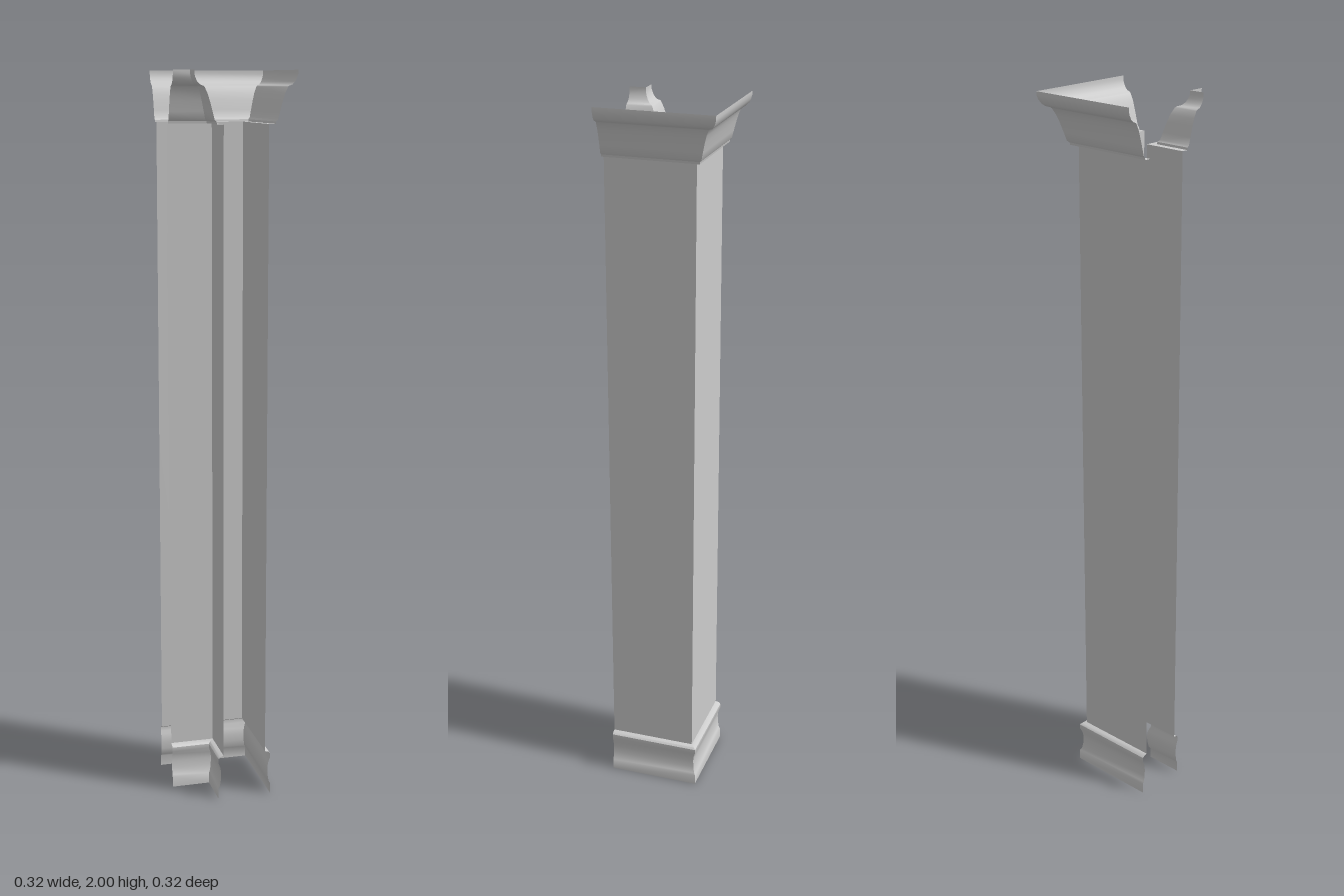
import * as THREE from 'three';
import { toCreasedNormals } from 'three/addons/utils/BufferGeometryUtils.js';

const END = 0.16; // where both wall legs are cut off

// Profiles as [distance out from the wall face, height]
const profiles = {
  Base: [[0.015, 0], [0.015, 0.03], [0.011, 0.036], [0.008, 0.055], [0.007, 0.075], [0.009, 0.092],
    [0.012, 0.1], [0.015, 0.108], [0.015, 0.12], [0.01, 0.125], [0, 0.128]],
  Shaft: [[0, 0.128], [0, 1.864]],
  Crown: [[0, 1.864], [0.018, 1.864], [0.019, 1.87], [0.024, 1.875], [0.029, 1.895], [0.036, 1.921],
    [0.042, 1.94], [0.05, 1.957], [0.053, 1.96], [0.062, 1.963], [0.069, 1.97], [0.074, 1.98],
    [0.077, 1.99], [0.077, 2]],
};

// Sweeps a profile round an L-shaped path with a mitred corner at (k, -k)
function mitredSweep(profile, corner, dir) {
  const pos = [], index = [];
  for (const [out, y] of profile) {
    const k = corner + dir * out;
    pos.push(-END, y, -k, k, y, -k, k, y, END);
  }
  for (let j = 0; j < profile.length - 1; j++) {
    for (let i = 0; i < 2; i++) {
      const a = j * 3 + i, b = a + 1, c = a + 3, d = a + 4;
      if (dir > 0) index.push(a, c, b, b, c, d);
      else index.push(a, b, c, b, d, c);
    }
  }
  const geo = new THREE.BufferGeometry();
  geo.setAttribute('position', new THREE.Float32BufferAttribute(pos, 3));
  geo.setIndex(index);
  return geo;
}

export function createModel() {
  const model = new THREE.Group();
  model.name = 'cornerWall';
  const material = new THREE.MeshStandardMaterial({ color: 0xcccccc, side: THREE.DoubleSide });

  // Outer and inner skins of the wall, each with base, shaft and crown
  for (const [side, corner, dir] of [['outer', 0.083, 1], ['inner', -0.038, -1]]) {
    const skin = new THREE.Group();
    skin.name = side + 'Wall';
    for (const part in profiles) {
      const geo = mitredSweep(profiles[part], corner, dir);
      // The outer shaft leans out slightly at the top of its corner
      if (side === 'outer' && part === 'Shaft') {
        const p = geo.attributes.position;
        p.setZ(4, p.getZ(4) - 0.005);
      }
      const mesh = new THREE.Mesh(toCreasedNormals(geo, 0.6), material);
      mesh.name = side + part;
      skin.add(mesh);
    }
    model.add(skin);
  }
  return model;
}
